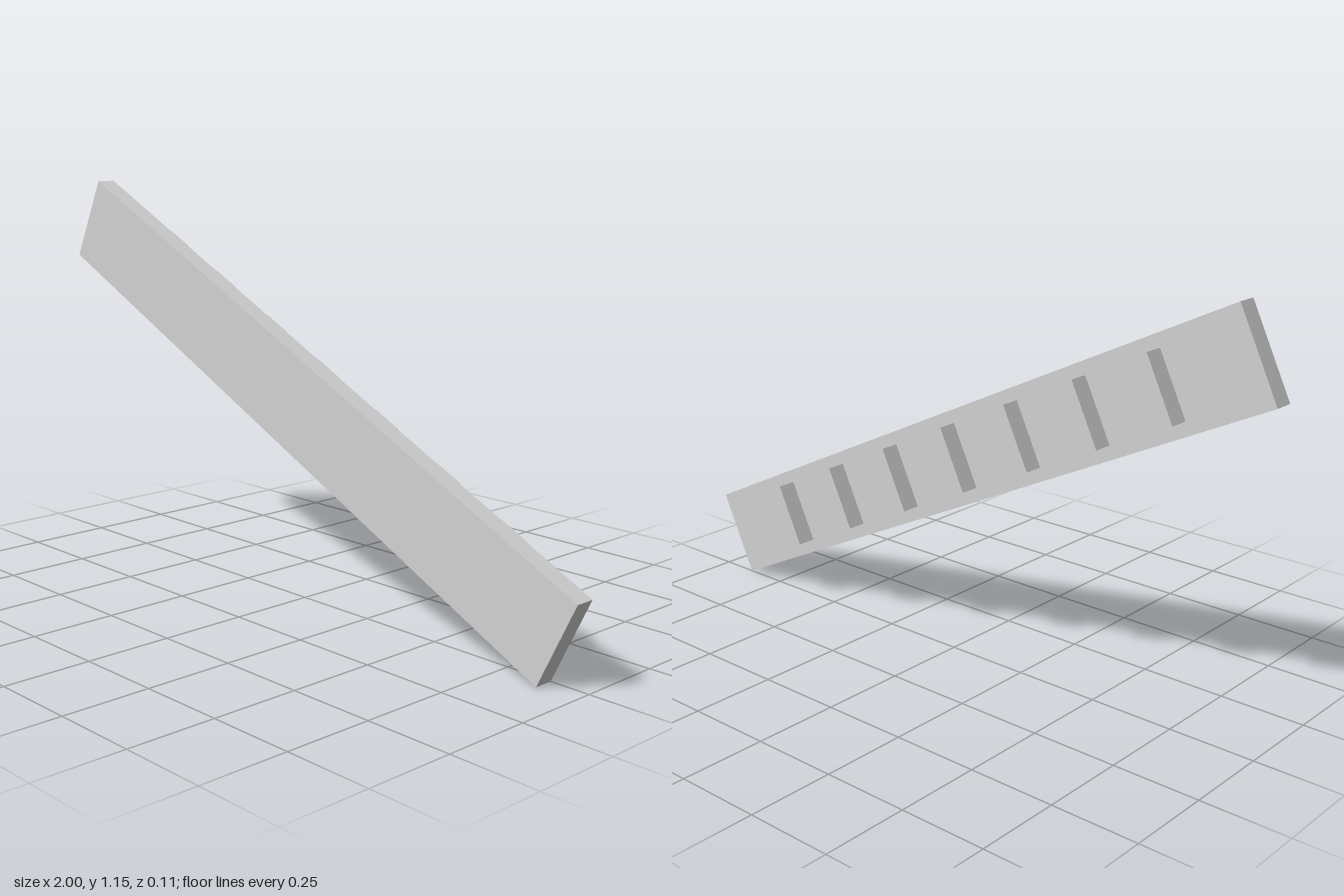
import * as THREE from 'three';

export function createModel() {
  const model = new THREE.Group();
  model.name = 'cleatedPlank';
  const lightGrey = new THREE.MeshStandardMaterial({ color: 0xd2d2d2 });
  lightGrey.name = 'lightGrey';

  // Everything is laid out level, then tilted down towards +x
  const ramp = new THREE.Group();
  ramp.name = 'ramp';
  ramp.rotation.z = -THREE.MathUtils.degToRad(25.95);
  ramp.position.y = 0.579;
  model.add(ramp);

  const addBox = (name, w, h, d, x, z) => {
    const mesh = new THREE.Mesh(new THREE.BoxGeometry(w, h, d), lightGrey);
    mesh.name = name;
    mesh.position.set(x, 0, z);
    ramp.add(mesh);
  };

  // Long flat plank
  addBox('plank', 2.096, 0.264, 0.057, 0, 0.0285);

  // Seven evenly spaced cleats across the back
  for (let i = -3; i <= 3; i++) {
    addBox('cleat' + (i + 4), 0.092, 0.19, 0.057, i * 0.248, -0.0285);
  }
  return model;
}
